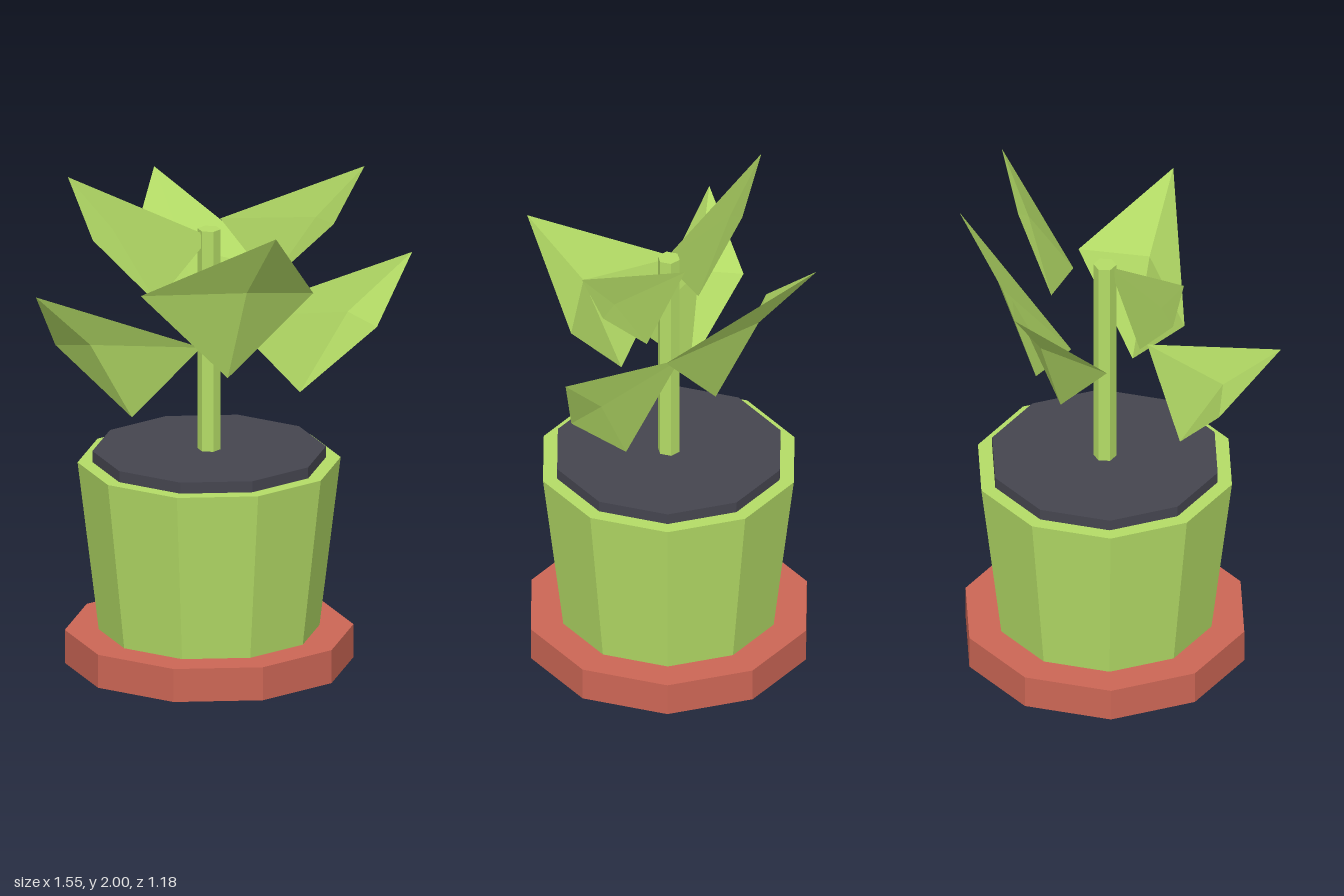
import * as THREE from 'three';

const material = (color, side = THREE.FrontSide) =>
  new THREE.MeshStandardMaterial({ color, side, flatShading: true });

// Folded four-sided leaf: tip, right corner, base and left corner fanned around a midrib point
function makeLeaf(name, { tip, right, base, left, mid }, mat) {
  const corners = [tip, left, base, right];
  const positions = corners.flatMap((c, i) => [...mid, ...c, ...corners[(i + 1) % 4]]);
  const geometry = new THREE.BufferGeometry();
  geometry.setAttribute('position', new THREE.Float32BufferAttribute(positions, 3));
  geometry.computeVertexNormals();
  const mesh = new THREE.Mesh(geometry, mat);
  mesh.name = name;
  return mesh;
}

export function createModel() {
  const model = new THREE.Group();
  model.name = 'pottedPlant';

  const green = material(0xb4dc66);
  const leafGreen = material(0xb4dc66, THREE.DoubleSide);
  const terracotta = material(0xcc6655);
  const earth = material(0x45454f);

  // Pot, saucer, soil and stem share one vertical axis
  const pottery = new THREE.Group();
  pottery.name = 'potAndStem';
  pottery.position.set(-0.015, 0, 0.025);
  model.add(pottery);

  const addColumn = (name, rTop, rBottom, y0, y1, sides, mat) => {
    const mesh = new THREE.Mesh(new THREE.CylinderGeometry(rTop, rBottom, y1 - y0, sides), mat);
    mesh.name = name;
    mesh.position.y = (y0 + y1) / 2;
    pottery.add(mesh);
  };
  addColumn('saucer', 0.565, 0.565, 0, 0.135, 10, terracotta);
  addColumn('pot', 0.515, 0.432, 0.135, 0.82, 10, green);
  addColumn('soil', 0.457, 0.457, 0.82, 0.865, 10, earth);
  addColumn('stem', 0.045, 0.045, 0.865, 1.765, 6, green);

  // Leaves, each given by its four corners and midrib bend
  const leaves = {
    frontLeaf: {
      tip: [0.04, 1.88, 0.59], left: [-0.335, 1.55, 0.105], right: [0.305, 1.55, 0.32],
      base: [-0.015, 1.21, 0.22], mid: [0.005, 1.6, 0.37],
    },
    backLeaf: {
      tip: [0, 1.84, -0.59], left: [0.345, 1.52, -0.085], right: [-0.24, 1.52, -0.3],
      base: [0.05, 1.2, -0.19], mid: [0.03, 1.57, -0.36],
    },
    lowerRightLeaf: {
      tip: [-0.78, 1.6, 0.115], left: [-0.62, 1.33, -0.08], right: [-0.11, 1.335, 0.18],
      base: [-0.35, 1.04, 0.05], mid: [-0.535, 1.365, 0.075],
    },
    lowerLeftLeaf: {
      tip: [0.775, 1.625, 0.185], left: [0.09, 1.37, -0.055], right: [0.615, 1.345, 0.215],
      base: [0.345, 1.07, 0.08], mid: [0.53, 1.39, 0.12],
    },
    upperRightLeaf: {
      tip: [-0.525, 1.975, -0.185], left: [-0.44, 1.72, -0.135], right: [-0.02, 1.74, 0.05],
      base: [-0.215, 1.47, -0.03], mid: [-0.37, 1.77, -0.11],
    },
    upperLeftLeaf: {
      tip: [0.575, 2, 0.185], left: [0.07, 1.77, -0.07], right: [0.465, 1.76, 0.135],
      base: [0.24, 1.52, 0.03], mid: [0.4, 1.79, 0.11],
    },
  };
  for (const [name, points] of Object.entries(leaves)) model.add(makeLeaf(name, points, leafGreen));

  return model;
}
